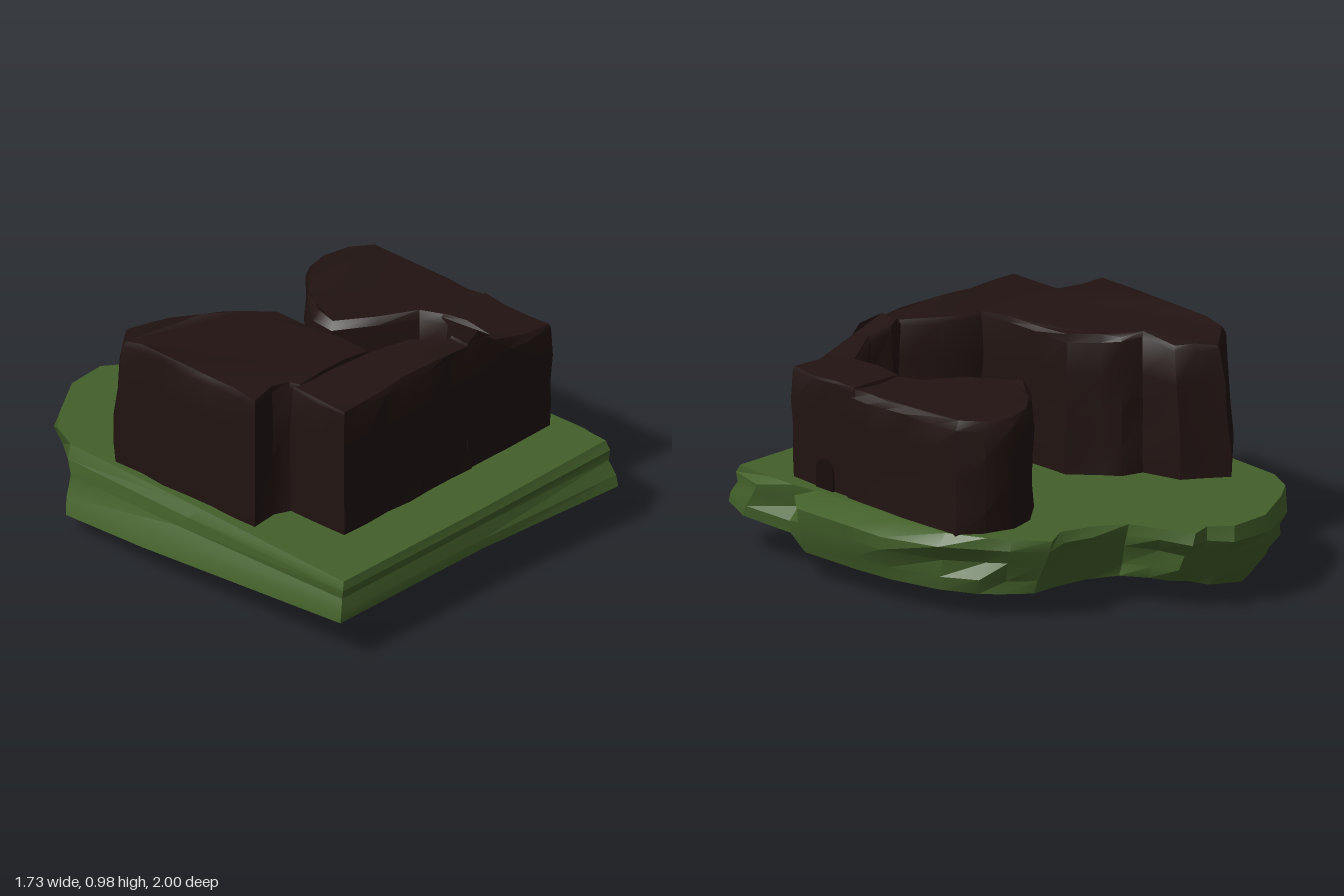
import * as THREE from 'three';
import { toCreasedNormals } from 'three/addons/utils/BufferGeometryUtils.js';

const TOP = 0.37; // height of the grass surface
const { lerp, smoothstep, clamp } = THREE.MathUtils;

// Small seeded random, -0.5 to 0.5
function seeded(seed) {
  return () => {
    seed = (seed * 16807) % 2147483647;
    return seed / 2147483647 - 0.5;
  };
}

// Skin a stack of equal-length rings (counter-clockwise from above) and cap both ends
function loft(rings, crease) {
  const n = rings[0].length;
  const pos = rings.flat().flatMap((p) => [p.x, p.y, p.z]);
  const index = [];
  for (let r = 0; r < rings.length - 1; r++) {
    for (let i = 0; i < n; i++) {
      const a = r * n + i, b = r * n + (i + 1) % n;
      index.push(a, b, b + n, a, b + n, a + n);
    }
  }
  const cap = (ring, base, up) => {
    const flat = ring.map((p) => new THREE.Vector2(p.x, -p.z));
    for (const [a, b, c] of THREE.ShapeUtils.triangulateShape(flat, [])) {
      const ccw = THREE.ShapeUtils.area([flat[a], flat[b], flat[c]]) > 0;
      if (ccw === up) index.push(base + a, base + b, base + c);
      else index.push(base + a, base + c, base + b);
    }
  };
  cap(rings[0], 0, false);
  cap(rings[rings.length - 1], (rings.length - 1) * n, true);
  const geo = new THREE.BufferGeometry();
  geo.setAttribute('position', new THREE.Float32BufferAttribute(pos, 3));
  geo.setIndex(index);
  return toCreasedNormals(geo, crease);
}

// Outward direction at each point of an outline of [x, z] pairs
function outward(pts) {
  return pts.map((_, i) => {
    const a = pts[(i + pts.length - 1) % pts.length], b = pts[(i + 1) % pts.length];
    return new THREE.Vector2(a[1] - b[1], b[0] - a[0]).normalize();
  });
}

// Split long outline edges
function subdivide(pts, step) {
  return pts.flatMap((a, i) => {
    const b = pts[(i + 1) % pts.length];
    const k = Math.max(1, Math.round(Math.hypot(b[0] - a[0], b[1] - a[1]) / step));
    return Array.from({ length: k }, (_, j) => [lerp(a[0], b[0], j / k), lerp(a[1], b[1], j / k)]);
  });
}

// Grassy slab: straight front and left edges, ragged right and back, tilted underside
function groundGeometry() {
  const top = [
    [-0.8, 0.92], [0, 0.93], [0.76, 0.92], [0.77, 0.74], [0.765, 0.6], [0.75, 0.48], [0.74, 0.2],
    [0.73, 0], [0.71, -0.25], [0.63, -0.41], [0.57, -0.5], [0.46, -0.62], [0.36, -0.56],
    [0.22, -0.6], [0.09, -0.68], [0.03, -0.83], [-0.03, -0.95], [-0.12, -0.92], [-0.21, -0.99],
    [-0.39, -0.98], [-0.59, -0.86], [-0.69, -0.78], [-0.75, -0.65], [-0.77, 0.1],
  ];
  const bottom = [
    [-0.83, 0.19, 0.93], [0, 0.19, 0.94], [0.75, 0.19, 1], [0.81, 0.18, 0.85], [0.78, 0.165, 0.6],
    [0.82, 0.125, 0.47], [0.78, 0.11, 0.2], [0.76, 0.11, 0.02], [0.7, 0.11, -0.2], [0.62, 0.11, -0.35],
    [0.55, 0.11, -0.42], [0.45, 0.11, -0.5], [0.33, 0.11, -0.5], [0.2, 0.12, -0.54],
    [0.07, 0.12, -0.6], [0, 0.12, -0.7], [-0.06, 0.11, -0.77], [-0.13, 0.1, -0.8],
    [-0.2, 0.08, -0.85], [-0.38, 0.05, -0.85], [-0.55, 0, -0.71], [-0.7, 0.06, -0.66],
    [-0.82, 0.08, -0.61], [-0.86, 0.13, -0.15],
  ];
  // Extra bulge of each outline point, on the right-hand and back edges
  const lumps = [0, 0, 0, 0.01, 0, 0.085, 0.08, 0.09, 0.03, 0, 0, 0, 0, 0, 0, 0, 0.03, 0.03, 0.05, 0.05, 0.03];
  const rand = seeded(11), out = outward(top);
  const ring = (t, bulge, rough, lump) => top.map(([x, z], i) => {
    const b = bottom[i];
    const ragged = i > 2 && i < 22 ? rough * rand() : 0;
    const d = bulge + ragged + lump * (lumps[i] ?? 0);
    return new THREE.Vector3(
      lerp(x, b[0], t) + out[i].x * d,
      lerp(TOP, b[1], t) + ragged * 0.4,
      Math.max(-1, lerp(z, b[2], t) + out[i].y * d));
  });
  // Inner ring of the underside, nearly flat
  const belly = bottom.map(([x, y, z]) => {
    const p = new THREE.Vector3(lerp(x, -0.1, 0.45), 0, lerp(z, 0.1, 0.45));
    p.y = lerp(y, 0.135 + 0.055 * p.z, 0.85);
    return p;
  });
  const rings = [
    belly, ring(1, 0, 0, 0), ring(0.75, 0.005, 0.05, 0.4), ring(0.45, -0.012, 0.06, 0.9),
    ring(0.2, 0.01, 0.04, 1), ring(0, 0, 0, 0),
  ];
  return loft(rings, 0.5);
}

// Rough masonry block: upright sides with a worn top edge at height(x, z)
function blockGeometry({ plan, height, bevel }, seed) {
  const pts = subdivide(plan, 0.13), out = outward(pts), rand = seeded(seed);
  const levels = [[-0.02, 0], [0.2, 0], [0.45, 0.004], [0.7, 0], [1 - bevel * 3, 0.004], [1, bevel]];
  const rings = levels.map(([t, inset]) => pts.map(([x, z], i) => {
    const d = rand() * 0.015 - inset;
    // The pointed back end leans inwards as it rises
    const lean = x < -0.4 && z < -0.3 ? 0.07 * Math.max(0, t) ** 2 * (-z - 0.3) / 0.25 : 0;
    const y = TOP + t * (height(x, z) - TOP) + (t > 0.8 ? rand() * 0.018 : 0);
    return new THREE.Vector3(x + out[i].x * d, y, z + out[i].y * d + lean);
  }));
  return loft(rings, 0.6);
}

const BLOCKS = {
  leftBlock: {
    bevel: 0.014,
    plan: [
      [-0.73, 0.36], [-0.6, 0.34], [-0.53, 0.37], [-0.5, 0.4], [-0.1, 0.41], [-0.12, 0.1],
      [-0.13, -0.07], [-0.23, -0.17], [-0.28, -0.24], [-0.37, -0.27], [-0.42, -0.44],
      [-0.6, -0.55], [-0.73, -0.42],
    ],
    height: (x, z) => 0.965 + 0.02 * smoothstep(-Math.hypot(x + 0.37, z + 0.25), -0.15, 0) - 0.15 * Math.max(0, -0.3 - z),
  },
  frontWall: {
    bevel: 0.012,
    plan: [[-0.53, 0.67], [0.22, 0.675], [0.22, 0.56], [0.2, 0.57], [0.08, 0.46], [-0.08, 0.4], [-0.53, 0.37]],
    height: () => 0.952,
  },
  rightWall: {
    bevel: 0.012,
    plan: [
      [0.2, 0.675], [0.33, 0.675], [0.43, 0.675], [0.7, 0.675], [0.705, 0.3], [0.45, 0.29],
      [0.45, 0.55], [0.36, 0.57], [0.27, 0.54], [0.2, 0.565],
    ],
    height: (x) => 0.95 - clamp((x - 0.33) * 0.95, 0, 0.095) - 0.04 * Math.max(0, x - 0.43),
  },
  roundBlock: {
    bevel: 0.024,
    plan: [
      [0.45, 0.33], [0.71, 0.33], [0.71, 0], [0.69, -0.29], [0.6, -0.37], [0.47, -0.4], [0.35, -0.37],
      [0.23, -0.26], [0.11, -0.1], [0.11, 0], [0.25, 0.13], [0.4, 0.22],
    ],
    height: (x, z) => 0.838 + 0.02 * Math.max(0, 1 - Math.hypot(x - 0.45, z + 0.2) / 0.4),
  },
};

// Low arched niche on the right-hand face
function nicheGeometry() {
  const s = new THREE.Shape();
  s.moveTo(-0.05, 0);
  s.lineTo(0.05, 0);
  s.lineTo(0.05, 0.08);
  s.absarc(0, 0.08, 0.05, 0, Math.PI, false);
  return new THREE.ExtrudeGeometry(s, { depth: 0.03, bevelEnabled: false, curveSegments: 6 }).rotateY(Math.PI / 2);
}

export function createModel() {
  const group = new THREE.Group();
  const add = (name, geometry, color) => {
    const mesh = new THREE.Mesh(geometry, new THREE.MeshStandardMaterial({ color }));
    mesh.name = name;
    group.add(mesh);
    return mesh;
  };
  add('grassSlab', groundGeometry(), 0x43602a);
  Object.entries(BLOCKS).forEach(([name, block], i) => {
    add(name, blockGeometry(block, 5 + i * 97), 0x211311);
  });
  add('archedNiche', nicheGeometry(), 0x170d0c).position.set(0.682, TOP, 0.47);
  add('pebble', new THREE.IcosahedronGeometry(0.01, 0), 0x211311).position.set(0.09, TOP + 0.005, -0.07);
  return group;
}
